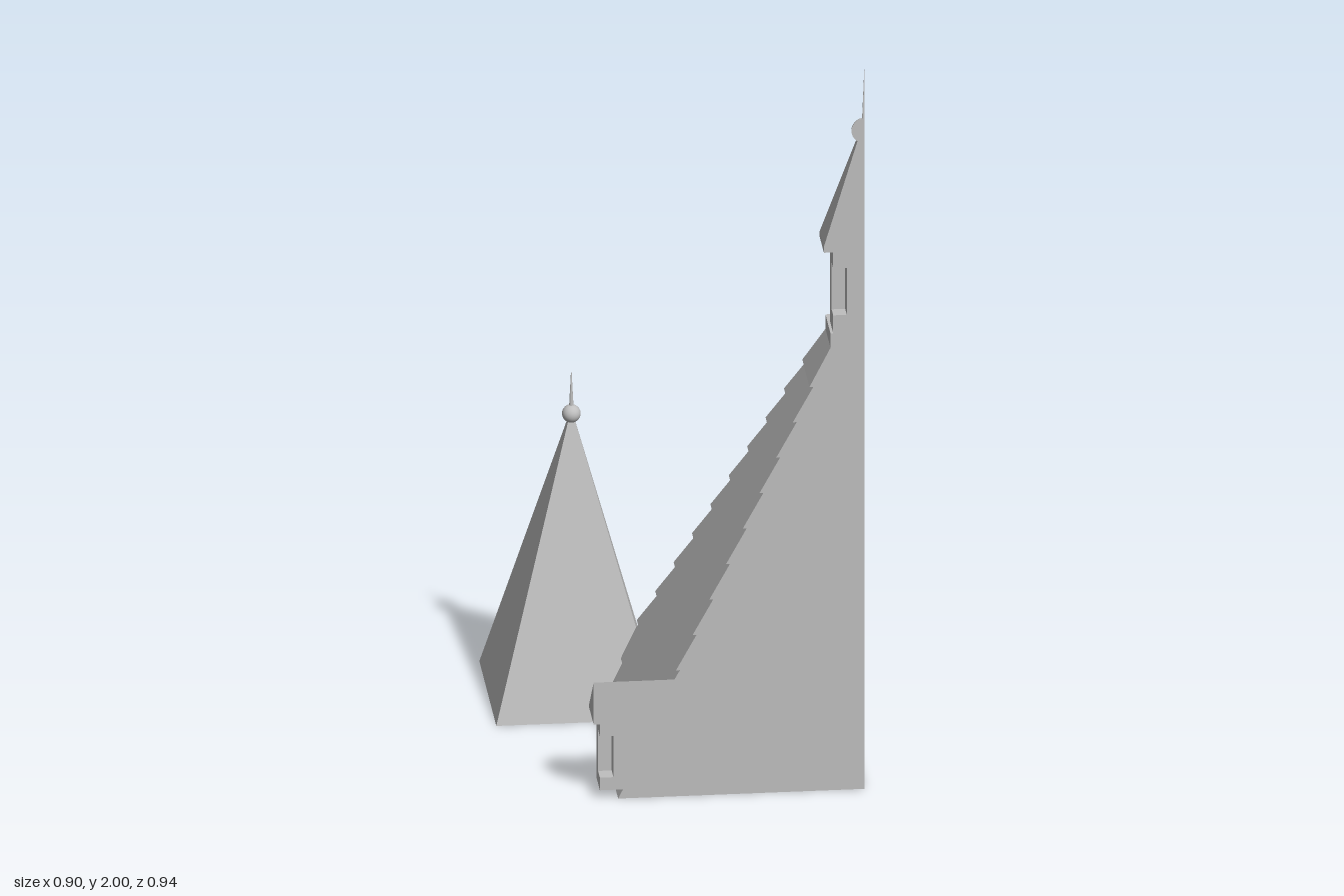
import * as THREE from 'three';

// The tower is a quarter section: it is cut by the planes x = X and z = Z.
const X = 0.448, Z = 0.469;

const stone = new THREE.MeshStandardMaterial({ color: 0xbfbfbf });
stone.name = 'plain grey';

function add(parent, name, geometry, x = 0, y = 0, z = 0) {
  const mesh = new THREE.Mesh(geometry, stone);
  mesh.name = name;
  mesh.position.set(x, y, z);
  parent.add(mesh);
  return mesh;
}

// Solid in the cut corner from sections [y, reach along -x, reach along -z]
function cornerLoft(sections) {
  const rings = sections.map(([y, u, v]) => [
    [X, y, Z], [X - u, y, Z], [X - u, y, Z - v], [X, y, Z - v]]);
  const pos = [];
  const tri = (...pts) => pts.forEach(p => pos.push(...p));
  for (let k = 0; k + 1 < rings.length; k++) {
    const a = rings[k], b = rings[k + 1];
    for (let i = 0; i < 4; i++) {
      const j = (i + 1) % 4;
      tri(a[j], a[i], b[i]);
      tri(a[j], b[i], b[j]);
    }
  }
  const lo = rings[0], hi = rings[rings.length - 1];
  tri(lo[0], lo[1], lo[2]);
  tri(lo[0], lo[2], lo[3]);
  tri(hi[0], hi[3], hi[2]);
  tri(hi[0], hi[2], hi[1]);
  const g = new THREE.BufferGeometry();
  g.setAttribute('position', new THREE.Float32BufferAttribute(pos, 3));
  g.computeVertexNormals();
  return g;
}

// Box measured away from the two cut planes
function cornerBox(parent, name, [u0, u1], [y0, y1], [v0, v1]) {
  add(parent, name, new THREE.BoxGeometry(u1 - u0, y1 - y0, v1 - v0),
    X - (u0 + u1) / 2, (y0 + y1) / 2, Z - (v0 + v1) / 2);
}

// Hip roof with overlapping courses
function mainRoof() {
  const s = [[0, 0.635, 0.675]];
  for (let i = 0; i < 12; i++) {
    const y = 0.06 + 0.0967 * i, u = 0.615 - 0.043 * i;
    s.push([y, u - 0.01, u + 0.03], [y, u, u + 0.04]);
  }
  s.push([1.23, 0.088, 0.127], [1.27, 0.088, 0.127]);
  return cornerLoft(s);
}

// Half dormer cut along its ridge; swapped turns it to the other side
function dormer(reach, swapped) {
  const group = new THREE.Group();
  group.name = swapped ? 'backDormer' : 'sideDormer';
  const box = (name, a, y, b) =>
    swapped ? cornerBox(group, name, b, y, a) : cornerBox(group, name, a, y, b);
  const wall = reach - 0.016, back = reach - 0.28;
  const sec = (y, a, b) => (swapped ? [y, b, a] : [y, a, b]);
  add(group, 'dormerRoof', cornerLoft([
    sec(0.208, reach, 0.116), sec(0.216, reach, 0.116), sec(0.325, reach, 0)]));
  box('dormerSill', [back, wall], [0.025, 0.06], [0, 0.09]);
  box('dormerLintel', [back, wall], [0.175, 0.21], [0, 0.09]);
  box('dormerWindow', [back, wall - 0.035], [0.06, 0.175], [0, 0.05]);
  box('dormerJamb', [back, wall], [0.06, 0.175], [0.045, 0.09]);
  return group;
}

export function createModel() {
  const model = new THREE.Group();
  model.name = 'steepleSection';

  add(model, 'mainRoof', mainRoof());
  model.add(dormer(0.698, false), dormer(0.738, true));

  // Belfry with an opening in each side
  const belfry = new THREE.Group();
  belfry.name = 'belfry';
  model.add(belfry);
  const w = 0.081;
  cornerBox(belfry, 'belfryBase', [0, w], [1.26, 1.32], [0, w]);
  cornerBox(belfry, 'belfryCore', [0, w - 0.035], [1.32, 1.45], [0, w - 0.035]);
  cornerBox(belfry, 'belfryPost', [0.04, w], [1.32, 1.45], [0.04, w]);
  cornerBox(belfry, 'belfryHead', [0, w], [1.45, 1.51], [0, w]);

  // Spire, quarter ball and needle
  add(model, 'spire', cornerLoft([
    [1.495, 0.105, 0.105], [1.512, 0.105, 0.105], [1.85, 0.004, 0.004]]));
  const r = 0.034, ballY = 1.83;
  add(model, 'spireBall',
    new THREE.SphereGeometry(r, 8, 16, Math.PI * 1.5, Math.PI / 2), X, ballY, Z);
  add(model, 'ballFrontCut',
    new THREE.CircleGeometry(r, 16, Math.PI / 2, Math.PI), X, ballY, Z);
  add(model, 'ballSideCut',
    new THREE.CircleGeometry(r, 16, -Math.PI / 2, Math.PI).rotateY(Math.PI / 2), X, ballY, Z);
  add(model, 'spireNeedle', cornerLoft([[1.84, 0.007, 0.007], [2, 0.001, 0.001]]));

  // Separate corner pyramid with its own finial
  const turret = new THREE.Group();
  turret.name = 'cornerTurret';
  turret.position.set(-0.234, 0, -0.254);
  model.add(turret);
  const pyramid = new THREE.ConeGeometry(0.215 * Math.SQRT2, 0.785, 4)
    .rotateY(Math.PI / 4).toNonIndexed();
  pyramid.computeVertexNormals();
  add(turret, 'turretRoof', pyramid, 0, 0.3925, 0);
  add(turret, 'turretBall', new THREE.SphereGeometry(0.024, 24, 16), 0, 0.77, 0);
  add(turret, 'turretNeedle', new THREE.CylinderGeometry(0.001, 0.006, 0.1, 12), 0, 0.835, 0);

  return model;
}
